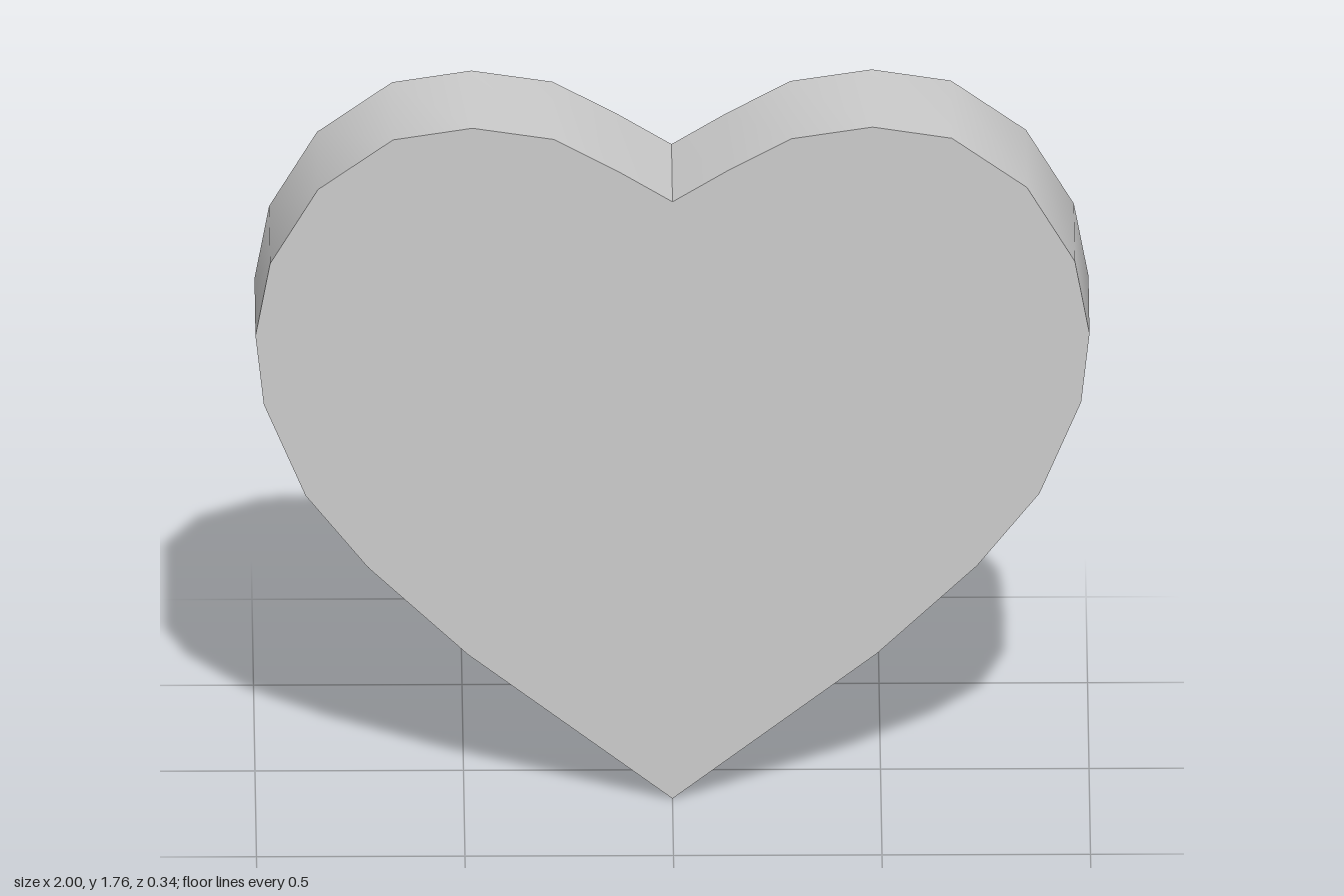
import * as THREE from 'three';
import { toCreasedNormals } from 'three/addons/utils/BufferGeometryUtils.js';

export function createModel() {
  const group = new THREE.Group();
  group.name = 'heart';

  // Half outline from the bottom tip, round the lobe, to the notch
  const half = [
    [0, 0], [0.49, 0.38], [0.73, 0.61], [0.88, 0.8], [0.98, 1.04], [1, 1.22], [0.965, 1.41],
    [0.85, 1.605], [0.67, 1.735], [0.48, 1.765], [0.285, 1.735], [0.13, 1.65], [0, 1.57],
  ];
  // Mirror the lobe, leaving out the shared tip and notch
  const mirrored = half.slice(1, -1).reverse().map(([x, y]) => [-x, y]);
  const outline = [...half, ...mirrored].map(([x, y]) => new THREE.Vector2(x, y));

  // Flat faces with a smoothly shaded rim, crisp at tip and notch
  const depth = 0.336;
  const slab = new THREE.ExtrudeGeometry(new THREE.Shape(outline), { depth, bevelEnabled: false });
  slab.translate(0, 0, -depth / 2);

  const body = new THREE.Mesh(
    toCreasedNormals(slab, 1),
    new THREE.MeshStandardMaterial({ color: 0xcccccc }),
  );
  body.name = 'heartBody';
  group.add(body);
  return group;
}
